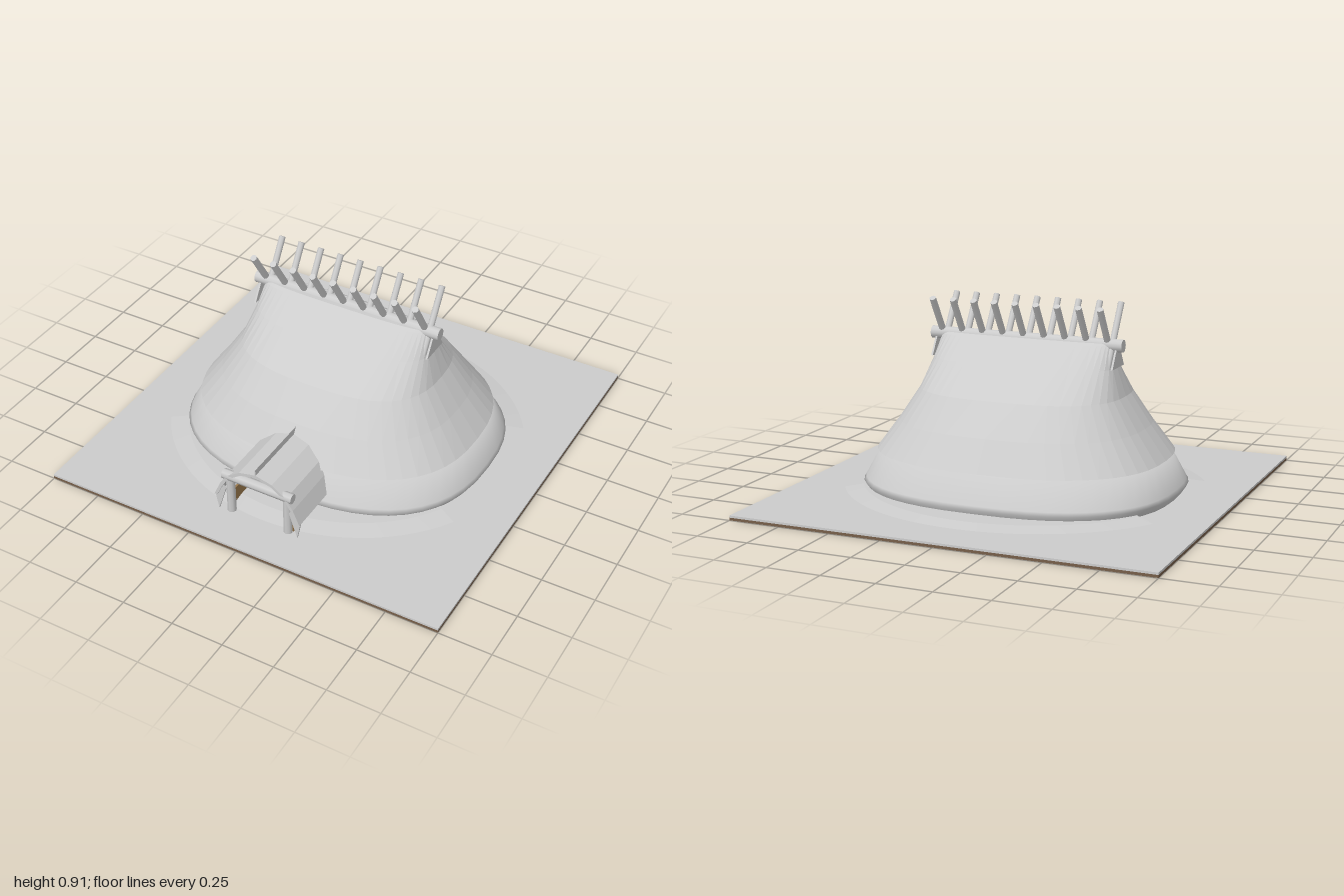
import * as THREE from 'three';

const mat = (name, color, opts = {}) => {
  const m = new THREE.MeshStandardMaterial({ color, ...opts });
  m.name = name;
  return m;
};

export function createModel() {
  const group = new THREE.Group();
  const thatch = mat('pale grey', 0xcccccc);
  const thatchFlat = mat('pale grey', 0xcccccc, { flatShading: true });
  const sheet = thatch.clone();
  sheet.side = THREE.DoubleSide;
  const soil = mat('dark soil', 0x755e49);
  const earth = mat('earth brown', 0x9c7a4e);

  const add = (name, geo, material, x = 0, y = 0, z = 0) => {
    const m = new THREE.Mesh(geo, material);
    m.name = name;
    m.position.set(x, y, z);
    group.add(m);
    return m;
  };

  // Loft of rounded-rectangle rings [halfX, y, halfZ, exponent], closed at the top
  const loft = (rings, seg = 48) => {
    const pos = [], idx = [];
    for (const [a, y, b, n] of rings) {
      for (let i = 0; i < seg; i++) {
        const t = (i / seg) * Math.PI * 2, c = Math.cos(t), s = Math.sin(t);
        pos.push(a * Math.sign(c) * Math.abs(c) ** (2 / n), y, b * Math.sign(s) * Math.abs(s) ** (2 / n));
      }
    }
    for (let r = 0; r < rings.length - 1; r++) {
      for (let i = 0; i < seg; i++) {
        const j = (i + 1) % seg, p = r * seg, q = p + seg;
        idx.push(p + i, q + i, p + j, p + j, q + i, q + j);
      }
    }
    const top = (rings.length - 1) * seg, centre = pos.length / 3;
    pos.push(0, rings[rings.length - 1][1], 0);
    for (let i = 0; i < seg; i++) idx.push(top + i, centre, top + (i + 1) % seg);
    const g = new THREE.BufferGeometry();
    g.setAttribute('position', new THREE.Float32BufferAttribute(pos, 3));
    g.setIndex(idx);
    g.computeVertexNormals();
    return g;
  };

  // Ground slab in two layers
  add('soilLayer', new THREE.BoxGeometry(2, 0.012, 2), soil, 0, 0.006, 0);
  add('groundTop', new THREE.BoxGeometry(2, 0.01, 2), thatch, 0, 0.017, 0);

  // Low earth banks in front and behind, sloping outwards; flush strips at the sides
  const arc = (from, to, inner, outer) => {
    const pos = [], idx = [], n = 28;
    for (let i = 0; i <= n; i++) {
      const t = from + ((to - from) * i) / n;
      for (const [a, y, b] of [inner, outer]) pos.push(a * Math.cos(t), y, b * Math.sin(t));
      if (i < n) idx.push(i * 2, i * 2 + 2, i * 2 + 1, i * 2 + 1, i * 2 + 2, i * 2 + 3);
    }
    const g = new THREE.BufferGeometry();
    g.setAttribute('position', new THREE.Float32BufferAttribute(pos, 3));
    g.setIndex(idx);
    g.computeVertexNormals();
    return g;
  };
  for (const start of [0, Math.PI]) {
    add('earthBank', arc(start + 0.5, start + Math.PI - 0.5, [0.7, 0.038, 0.56], [0.78, 0.035, 0.71]), sheet);
    add('bankSlope', arc(start + 0.5, start + Math.PI - 0.5, [0.78, 0.035, 0.71], [0.87, 0.022, 0.79]), sheet);
    add('sideDitch', arc(start - 0.5, start + 0.5, [0.83, -0.001, 0.76], [0.86, -0.001, 0.79]), sheet);
  }

  // Thatched roof: lower skirt and overlapping upper layer
  add('roofSkirt', loft([
    [0.73, 0.02, 0.59, 2.5], [0.755, 0.058, 0.617, 2.5], [0.745, 0.075, 0.606, 2.5], [0.675, 0.21, 0.54, 2.5],
  ]), thatch);
  add('upperRoof', loft([
    [0.672, 0.2, 0.537, 2.5], [0.692, 0.205, 0.556, 2.5], [0.59, 0.345, 0.465, 2.5],
    [0.495, 0.49, 0.35, 2.7], [0.45, 0.62, 0.19, 2.9], [0.427, 0.72, 0.06, 3], [0.42, 0.73, 0.045, 3],
  ]), thatchFlat);

  // Small triangular gables under the ridge ends
  for (const side of [-1, 1]) {
    const s = new THREE.Shape([
      new THREE.Vector2(-0.075, 0.62), new THREE.Vector2(0.075, 0.62),
      new THREE.Vector2(0.015, 0.72), new THREE.Vector2(-0.015, 0.72),
    ]);
    const gable = add('gable', new THREE.ExtrudeGeometry(s, { depth: 0.009, bevelEnabled: false }), thatch,
      side * 0.447, 0, 0);
    gable.rotation.y = side * Math.PI / 2;
  }

  // Ridge log
  add('ridgeLog', new THREE.CylinderGeometry(0.03, 0.03, 0.96, 12), thatch, 0, 0.72, 0).rotation.z = Math.PI / 2;

  // Nine pairs of crossed ridge poles
  const tilt = Math.atan2(0.11, 0.175);
  for (let i = 0; i < 9; i++) {
    for (const side of [-1, 1]) {
      const pole = add('ridgePole', new THREE.CylinderGeometry(0.016, 0.016, 0.32, 8), thatch,
        (i - 4) * 0.104 - side * 0.01, 0.765, side * 0.026);
      pole.rotation.x = side * tilt;
    }
  }

  // Entrance porch: arched thatch sheet with a thin crest
  const half = [[0, 0.305], [0.085, 0.285], [0.155, 0.235], [0.19, 0.18], [0.222, 0.105]];
  const under = [[0.208, 0.105], [0.175, 0.175], [0.145, 0.222], [0.08, 0.27], [0, 0.29]];
  const outline = [
    ...half, ...under,
    ...under.slice(0, -1).reverse().map(([x, y]) => [-x, y]),
    ...half.slice(1).reverse().map(([x, y]) => [-x, y]),
  ].map(([x, y]) => new THREE.Vector2(x, y));
  add('porchRoof', new THREE.ExtrudeGeometry(new THREE.Shape(outline), { depth: 0.4, bevelEnabled: false }),
    thatch, 0, 0, 0.42);
  add('porchCrest', new THREE.BoxGeometry(0.004, 0.035, 0.36), thatch, 0, 0.318, 0.64);

  // Porch posts, hanging eave ends and earth side walls
  for (const side of [-1, 1]) {
    add('porchPost', new THREE.CylinderGeometry(0.021, 0.021, 0.22, 8), thatch, side * 0.148, 0.13, 0.795);
    add('porchWall', new THREE.BoxGeometry(0.01, 0.085, 0.28), earth, side * 0.165, 0.0625, 0.645);
    const flap = new THREE.Shape([
      new THREE.Vector2(side * 0.222, 0.105), new THREE.Vector2(side * 0.205, 0.022),
      new THREE.Vector2(side * 0.165, 0.15), new THREE.Vector2(side * 0.19, 0.18),
    ]);
    add('eaveEnd', new THREE.ExtrudeGeometry(flap, { depth: 0.008, bevelEnabled: false }), thatch, 0, 0, 0.805);
  }
  add('porchBeam', new THREE.CylinderGeometry(0.024, 0.024, 0.36, 8), thatch, 0, 0.23, 0.8).rotation.z = Math.PI / 2;

  return group;
}
